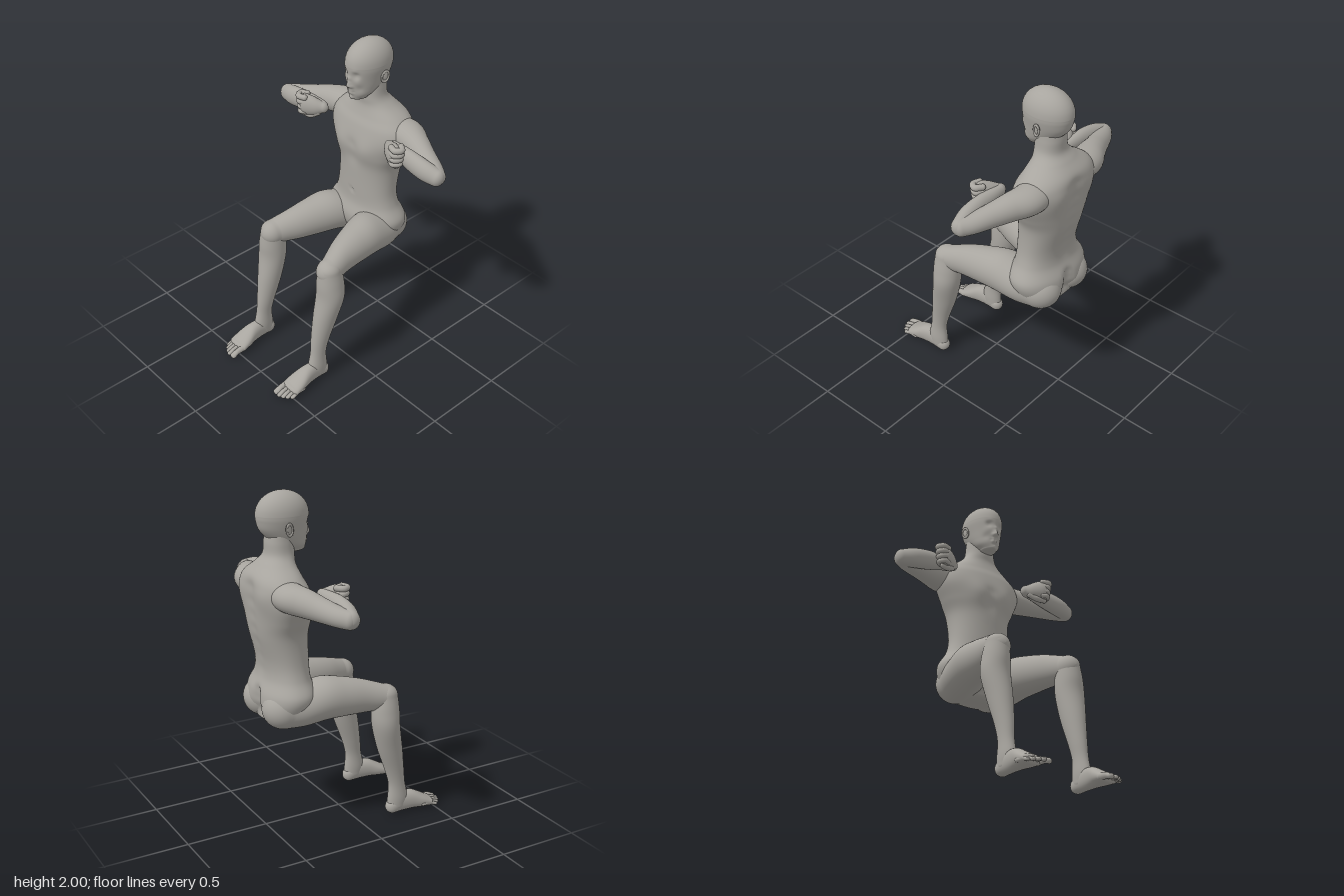
import * as THREE from 'three';

const V = (x, y, z) => new THREE.Vector3(x, y, z);
const X = V(1, 0, 0), Y = V(0, 1, 0), Z = V(0, 0, 1), DOWN = V(0, -1, 0);

// Smooth tube through rows [x, y, z, halfWidth, halfHeight], closed by domes.
// side mirrors it in x, dir fixes the ring direction, power squares the rings off.
function loft(rows, { side = 1, dir, caps = [0.02, 0.02], seg = 32, steps = 6, power = 1 } = {}) {
  const path = new THREE.CatmullRomCurve3(rows.map(r => V(r[0] * side, r[1], r[2])), false, 'catmullrom');
  const size = new THREE.CatmullRomCurve3(rows.map(r => V(r[3], r[4], 0)), false, 'catmullrom');
  const rings = [];
  const add = (t, shift = 0, k = 1) => {
    const d = dir || path.getTangent(t);
    const s = size.getPoint(t);
    rings.push({ c: path.getPoint(t).addScaledVector(d, shift), d, a: s.x * k, b: s.y * k });
  };
  const n = (rows.length - 1) * steps, D = 9;
  const angle = k => Math.min(k / D, 0.995) * Math.PI / 2;
  for (let k = D; k > 0; k--) add(0, -caps[0] * Math.sin(angle(k)), Math.cos(angle(k)));
  for (let i = 0; i <= n; i++) add(i / n);
  for (let k = 1; k <= D; k++) add(1, caps[1] * Math.sin(angle(k)), Math.cos(angle(k)));

  const pos = [], idx = [];
  const bend = v => Math.sign(v) * Math.abs(v) ** power;
  rings.forEach(({ c, d, a, b }, i) => {
    const u = (Math.abs(d.y) > 0.7 ? Z : Y).clone().cross(d).normalize();
    const v = d.clone().cross(u);
    for (let j = 0; j < seg; j++) {
      const th = j / seg * Math.PI * 2;
      const p = c.clone().addScaledVector(u, a * bend(Math.cos(th))).addScaledVector(v, b * bend(Math.sin(th)));
      pos.push(p.x, p.y, p.z);
      if (i === rings.length - 1) continue;
      const p0 = i * seg + j, p1 = i * seg + (j + 1) % seg;
      idx.push(p0, p1, p0 + seg, p1, p1 + seg, p0 + seg);
    }
  });
  const first = pos.length / 3, last = first - seg;
  for (const r of [rings[0], rings.at(-1)]) pos.push(r.c.x, r.c.y, r.c.z);
  for (let j = 0; j < seg; j++) {
    const k = (j + 1) % seg;
    idx.push(first, k, j, first + 1, last + j, last + k);
  }
  const g = new THREE.BufferGeometry();
  g.setAttribute('position', new THREE.Float32BufferAttribute(pos, 3));
  g.setIndex(idx);
  g.computeVertexNormals();
  return g;
}

// Soft pushes along z: [x, y, z, radius, amount]; those off the middle are mirrored.
function sculpt(g, pushes) {
  const all = pushes.flatMap(p => p[0] ? [p, [-p[0], ...p.slice(1)]] : [p]);
  const at = g.attributes.position;
  for (let i = 0; i < at.count; i++) {
    const p = V(0, 0, 0).fromBufferAttribute(at, i);
    let dz = 0;
    for (const [x, y, z, r, k] of all) dz += k * Math.exp(-p.distanceToSquared(V(x, y, z)) / (r * r));
    at.setZ(i, p.z + dz);
  }
  g.computeVertexNormals();
  return g;
}

export function createModel() {
  const skin = new THREE.MeshStandardMaterial({ color: 0xa8a59f });
  skin.name = 'warm grey';
  const model = new THREE.Group();
  model.name = 'seatedFigure';
  const part = (name, geo, parent = model) => {
    const m = new THREE.Mesh(geo, skin);
    m.name = name;
    parent.add(m);
    return m;
  };

  // Torso and neck, with chest, spine and seat modelling
  const torso = loft([
    [0, 0.70, -0.40, 0.19, 0.115], [0, 0.78, -0.39, 0.25, 0.16], [0, 0.86, -0.38, 0.27, 0.165],
    [0, 0.95, -0.375, 0.222, 0.135], [0, 1.05, -0.377, 0.2, 0.134], [0, 1.2, -0.395, 0.203, 0.153],
    [0, 1.3, -0.398, 0.242, 0.162], [0, 1.4, -0.402, 0.285, 0.162], [0, 1.48, -0.412, 0.28, 0.153],
    [0, 1.54, -0.42, 0.225, 0.135], [0, 1.6, -0.405, 0.14, 0.103], [0, 1.65, -0.385, 0.098, 0.085],
    [0, 1.72, -0.382, 0.088, 0.082], [0, 1.78, -0.375, 0.085, 0.08],
  ], { dir: Y, caps: [0.04, 0.02], seg: 80, steps: 8, power: 0.92 });
  sculpt(torso, [
    [0.1, 1.34, -0.24, 0.07, 0.014], [0, 1.36, -0.24, 0.03, -0.006], [0, 1.27, -0.24, 0.05, -0.008],
    [0, 1.03, -0.245, 0.012, -0.01], [0.14, 1.44, -0.55, 0.08, -0.014],
    ...[1.0, 1.08, 1.16, 1.24, 1.32, 1.4, 1.48].map(y => [0, y, -0.55, 0.045, 0.013]),
    [0, 0.87, -0.55, 0.03, 0.02], [0, 0.82, -0.55, 0.04, 0.03], [0, 0.75, -0.54, 0.05, 0.04],
  ]);
  part('torso', torso);

  // Head, with the face modelled into it
  const head = loft([
    [0, 1.67, -0.288, 0.05, 0.06], [0, 1.70, -0.305, 0.075, 0.085], [0, 1.74, -0.333, 0.09, 0.119],
    [0, 1.79, -0.352, 0.102, 0.144], [0, 1.84, -0.358, 0.112, 0.154], [0, 1.87, -0.359, 0.114, 0.156],
  ], { dir: Y, caps: [0.018, 0.13], seg: 128, steps: 12 });
  sculpt(head, [
    [0, 1.755, -0.21, 0.016, 0.022], [0, 1.775, -0.21, 0.014, 0.01], [0, 1.8, -0.208, 0.014, 0.008],
    [0.017, 1.75, -0.21, 0.01, 0.009], [0.042, 1.825, -0.217, 0.021, -0.014],
    [0.042, 1.824, -0.228, 0.011, 0.006], [0.04, 1.85, -0.21, 0.018, 0.003],
    [0.012, 1.724, -0.21, 0.012, 0.007], [0.012, 1.706, -0.218, 0.012, 0.008],
    [0, 1.715, -0.205, 0.006, -0.003], [0.025, 1.715, -0.215, 0.008, -0.005],
    [0, 1.69, -0.22, 0.01, -0.004], [0, 1.668, -0.226, 0.022, 0.008],
    [0.055, 1.78, -0.232, 0.025, 0.004], [0.05, 1.74, -0.24, 0.022, -0.005],
  ]);
  part('head', head);

  for (const s of [1, -1]) {
    const name = s > 0 ? 'left' : 'right';
    const tube = (label, rows, opts, parent) => part(name + label, loft(rows, { side: s, ...opts }), parent);

    // Ear: thin shell with a raised rim
    const ear = new THREE.Group();
    ear.name = name + 'Ear';
    ear.position.set(s * 0.113, 1.8, -0.375);
    ear.rotation.set(-0.2, -s * 0.3, -s * 0.1);
    const shell = new THREE.SphereGeometry(1, 20, 14).scale(0.009, 0.036, 0.024);
    const rim = new THREE.TorusGeometry(0.022, 0.006, 8, 28).rotateY(Math.PI / 2).scale(1, 1.5, 1);
    part('earShell', shell, ear);
    part('earRim', rim, ear).position.x = s * 0.006;
    model.add(ear);

    // Arm raised sideways, forearm folded in front
    tube('UpperArm', [
      [0.14, 1.455, -0.425, 0.1, 0.082], [0.25, 1.457, -0.433, 0.1, 0.083], [0.35, 1.45, -0.402, 0.08, 0.079],
      [0.45, 1.435, -0.364, 0.066, 0.068], [0.56, 1.42, -0.322, 0.057, 0.057], [0.625, 1.414, -0.29, 0.048, 0.052],
    ], { caps: [0.05, 0.04] });
    tube('Forearm', [
      [0.627, 1.414, -0.285, 0.046, 0.052], [0.55, 1.43, -0.268, 0.049, 0.061], [0.45, 1.447, -0.265, 0.045, 0.06],
      [0.36, 1.46, -0.27, 0.037, 0.046], [0.29, 1.465, -0.272, 0.03, 0.037],
    ], { caps: [0.042, 0.03] });

    // Fist turned back outwards at the wrist
    const fist = new THREE.Group();
    fist.name = name + 'Fist';
    model.add(fist);
    tube('Palm', [
      [0.282, 1.465, -0.262, 0.03, 0.035], [0.32, 1.465, -0.238, 0.041, 0.055],
      [0.365, 1.47, -0.213, 0.042, 0.067], [0.392, 1.472, -0.206, 0.036, 0.064],
    ], { caps: [0.035, 0.015] }, fist);
    for (let i = 0; i < 4; i++) {
      const y = 1.524 - i * 0.032, w = 0.018 - i * 0.001, out = i * 0.004;
      tube('Finger', [
        [0.36, y, -0.192, w, w], [0.402 - out, y, -0.18, w, w],
        [0.424 - out, y, -0.212, w, w], [0.39, y, -0.24, w, w],
      ], { seg: 14, caps: [0.015, 0.015] }, fist);
    }
    tube('Thumb', [
      [0.3, 1.435, -0.24, 0.02, 0.022], [0.34, 1.41, -0.218, 0.02, 0.02], [0.385, 1.405, -0.21, 0.016, 0.016],
    ], { seg: 14 }, fist);

    // Thigh with buttock, then shin with calf
    tube('Thigh', [
      [0.122, 0.778, -0.43, 0.122, 0.12], [0.14, 0.785, -0.33, 0.135, 0.123], [0.165, 0.81, -0.2, 0.128, 0.128],
      [0.187, 0.805, -0.08, 0.11, 0.117], [0.21, 0.795, 0.03, 0.092, 0.102], [0.235, 0.785, 0.11, 0.08, 0.087],
      [0.253, 0.777, 0.165, 0.073, 0.077],
    ], { dir: Z, caps: [0.127, 0.08], seg: 48 });
    tube('Shin', [
      [0.258, 0.79, 0.168, 0.068, 0.072], [0.262, 0.7, 0.165, 0.081, 0.084], [0.265, 0.6, 0.168, 0.086, 0.084],
      [0.258, 0.45, 0.2, 0.069, 0.079], [0.255, 0.3, 0.237, 0.05, 0.062], [0.257, 0.2, 0.255, 0.041, 0.054],
      [0.258, 0.11, 0.262, 0.044, 0.066], [0.258, 0.06, 0.258, 0.042, 0.066],
    ], { dir: DOWN, caps: [0.06, 0.035], seg: 40 });

    // Foot and toes
    const foot = new THREE.Group();
    foot.name = name + 'Foot';
    model.add(foot);
    tube('Sole', [
      [0.258, 0.052, 0.225, 0.04, 0.043], [0.258, 0.07, 0.29, 0.041, 0.06], [0.258, 0.07, 0.36, 0.05, 0.06],
      [0.257, 0.054, 0.42, 0.063, 0.046], [0.256, 0.037, 0.475, 0.067, 0.03],
    ], { dir: Z, caps: [0.042, 0.025], power: 0.9 }, foot);
    [[0.21, 0.55, 0.021], [0.242, 0.553, 0.015], [0.267, 0.543, 0.014], [0.29, 0.527, 0.013], [0.31, 0.506, 0.013]]
      .forEach(([x, z, r]) => tube('Toe', [
        [x, 0.038, z - 0.085, r, r], [x, 0.034, z - 0.035, r * 0.85, r * 0.9], [x, 0.021, z, r, r * 0.8],
      ], { seg: 14, dir: Z, caps: [0.015, 0.015] }, foot));
  }
  return model;
}
